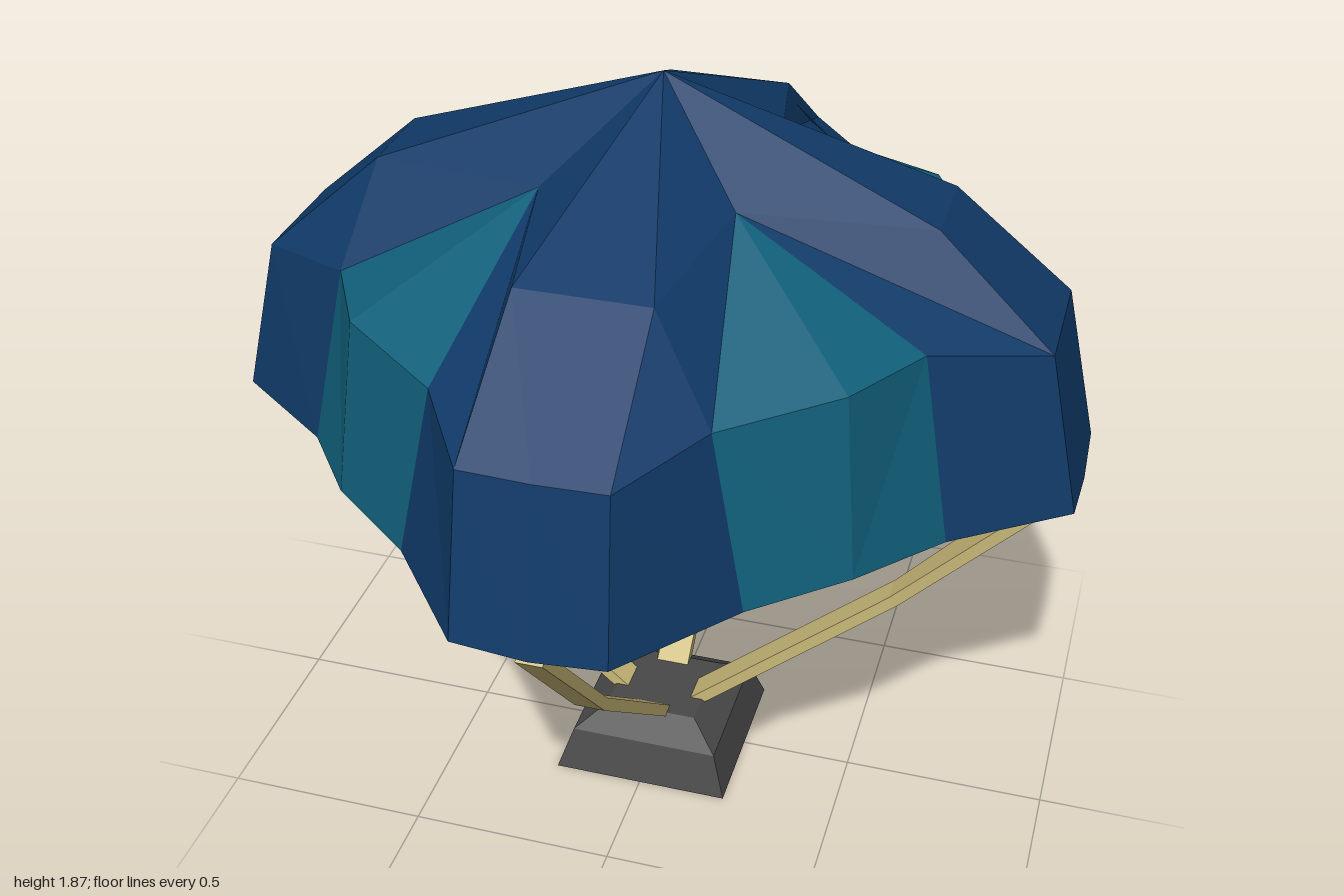
import * as THREE from 'three';

const paint = (name, color, extra = {}) => {
  const m = new THREE.MeshStandardMaterial({ color, flatShading: true, ...extra });
  m.name = name;
  return m;
};

const meshFrom = (name, positions, material) => {
  const g = new THREE.BufferGeometry();
  g.setAttribute('position', new THREE.Float32BufferAttribute(positions, 3));
  g.computeVertexNormals();
  const mesh = new THREE.Mesh(g, material);
  mesh.name = name;
  return mesh;
};

// Corner points of one quarter of the canopy, from the +z arm round to the +x arm
const P = {
  apex: [0, 1.87, 0], tip: [0.22, 1.66, 0.21],
  zc1: [0, 1.62, 0.58], ze1: [0.15, 1.62, 0.58],
  zc2: [0, 1.385, 0.91], ze2: [0.16, 1.39, 0.91],
  zc3: [0, 0.995, 0.975], ze3: [0.17, 1.01, 0.975],
  xc1: [0.64, 1.63, 0], xe1: [0.64, 1.63, 0.11],
  xc2: [0.91, 1.39, 0], xe2: [0.91, 1.39, 0.15],
  xc3: [1, 0.995, 0], xe3: [0.995, 1.01, 0.17],
  ta2: [0.30, 1.42, 0.69], tb2: [0.54, 1.45, 0.53], tc2: [0.66, 1.44, 0.31],
  ta3: [0.38, 1.01, 0.715], tb3: [0.58, 1.035, 0.575], tc3: [0.74, 1.01, 0.355],
};

// Panels, listed counter-clockwise as seen from outside
const BLUE = [
  'apex zc1 ze1', 'zc1 zc2 ze2 ze1', 'zc2 zc3 ze3 ze2',
  'apex ze1 tip', 'ze1 ze2 ta2 tip', 'ze2 ze3 ta3 ta2',
  'apex tip xe1', 'tip tc2 xe2 xe1', 'tc2 tc3 xe3 xe2',
  'apex xe1 xc1', 'xe1 xe2 xc2 xc1', 'xe2 xe3 xc3 xc2',
];
const TEAL = ['tip ta2 tb2', 'tip tb2 tc2', 'ta2 ta3 tb3', 'ta2 tb3 tb2', 'tb2 tb3 tc2', 'tc2 tb3 tc3'];
const RIM = ['zc3', 'ze3', 'ta3', 'tb3', 'tc3', 'xe3', 'xc3'];

const outer = (k) => P[k];
const inner = (k) => [P[k][0] * 0.97, P[k][1] - 0.018, P[k][2] * 0.97];

function addFace(out, pts, sx, sz, flip) {
  const q = pts.map(([x, y, z]) => [x * sx, y, z * sz]);
  if ((sx * sz < 0) !== flip) q.reverse();
  for (let i = 1; i < q.length - 1; i++) out.push(...q[0], ...q[i], ...q[i + 1]);
}

// Four mirrored quarters, each with an outer skin, a lining and a lip
function buildCanopy(blue, teal) {
  const blueTris = [], tealTris = [];
  for (const sx of [1, -1]) for (const sz of [1, -1]) {
    for (const [list, out] of [[BLUE, blueTris], [TEAL, tealTris]]) {
      for (const panel of list) {
        const keys = panel.split(' ');
        addFace(out, keys.map(outer), sx, sz, false);
        addFace(out, keys.map(inner), sx, sz, true);
      }
    }
    for (let i = 0; i < RIM.length - 1; i++) {
      const a = RIM[i], b = RIM[i + 1];
      addFace(blueTris, [outer(a), inner(a), inner(b), outer(b)], sx, sz, false);
    }
  }
  const canopy = new THREE.Group();
  canopy.name = 'canopy';
  canopy.add(meshFrom('canopyArms', blueTris, blue), meshFrom('canopyGussets', tealTris, teal));
  return canopy;
}

// Flat strap bent once along its length, running out towards +x
function strapGeometry(reach, halfWidths) {
  const path = [[0.09, 0.14], [0.59, 0.575], [reach, 0.995]];
  const g = new THREE.BoxGeometry(1, 1, 1, 2, 1, 1).toNonIndexed();
  const p = g.attributes.position;
  for (let i = 0; i < p.count; i++) {
    const k = Math.round(p.getX(i) * 2 + 1);
    const t = p.getY(i) * 0.03;
    p.setXYZ(i, path[k][0] - t * 0.68, path[k][1] + t * 0.73, p.getZ(i) * 2 * halfWidths[k]);
  }
  g.computeVertexNormals();
  return g;
}

// Square weight with a chamfered top
function buildBase(material) {
  const levels = [[0.222, 0], [0.187, 0.105], [0.115, 0.155]];
  const profile = [[0, 0], ...levels, [0, 0.155]]
    .map(([h, y]) => new THREE.Vector2(h * Math.SQRT2, y));
  const g = new THREE.LatheGeometry(profile, 4, Math.PI / 4).toNonIndexed();
  g.computeVertexNormals();
  const mesh = new THREE.Mesh(g, material);
  mesh.name = 'baseWeight';
  return mesh;
}

export function createModel() {
  const blue = paint('navy cloth', 0x103a68);
  const teal = paint('teal cloth', 0x115f7a);
  const tan = paint('tan webbing', 0xc8b878);
  const grey = paint('dark grey', 0x484848);

  const model = new THREE.Group();
  model.name = 'parachute';
  model.add(buildCanopy(blue, teal), buildBase(grey));

  const sideStrap = strapGeometry(0.985, [0.04, 0.036, 0.055]);
  const endStrap = strapGeometry(0.96, [0.042, 0.036, 0.03]);
  ['left', 'back', 'right', 'front'].forEach((side, i) => {
    const strap = new THREE.Mesh(i % 2 ? endStrap : sideStrap, tan);
    strap.name = side + 'Strap';
    strap.rotation.y = i * Math.PI / 2;
    model.add(strap);
  });
  return model;
}
